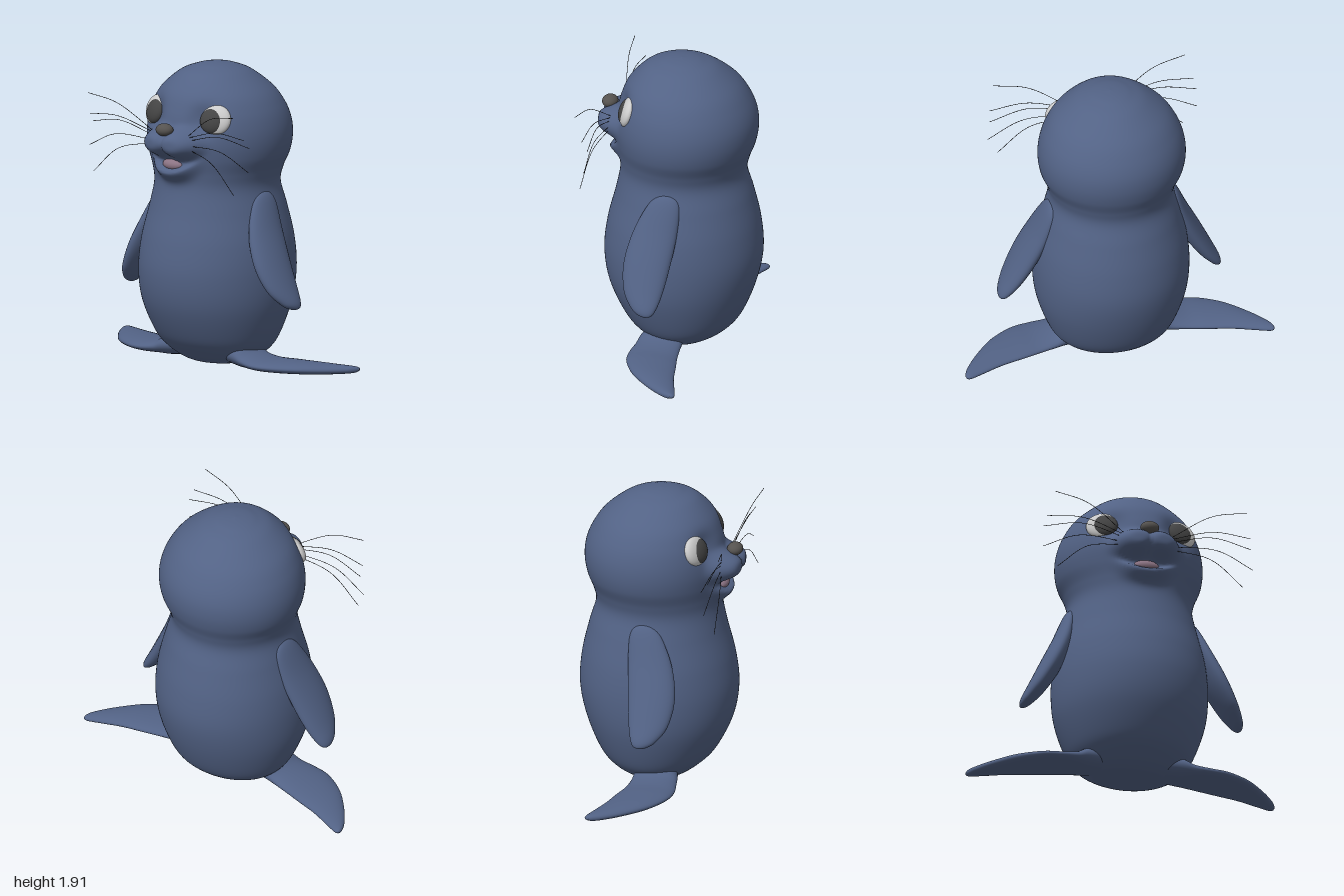
import * as THREE from 'three';

const mat = color => new THREE.MeshStandardMaterial({ color, roughness: 0.7 });
const skin = mat(0x526285);
const white = mat(0xcccccc);
const dark = mat(0x444444);
const noseMat = mat(0x55524f);
const pink = mat(0x8c7484);
const hair = mat(0x222222);

// Smooth closed skin: rows of numbers are spline-interpolated, ring(row, cos, sin) gives a point
function loft(rows, ring, steps = 6, seg = 32) {
  const pos = [], idx = [], n = (rows.length - 1) * steps;
  const cr = (a, b, c, d, t) => b + 0.5 * t * (c - a + t * (2 * a - 5 * b + 4 * c - d + t * (3 * (b - c) + d - a)));
  for (let i = 0; i <= n; i++) {
    const k = Math.min(Math.floor(i / steps), rows.length - 2), t = i / steps - k;
    const at = j => rows[Math.max(0, Math.min(rows.length - 1, j))];
    const row = rows[k].map((v, c) => cr(at(k - 1)[c], v, at(k + 1)[c], at(k + 2)[c], t));
    for (let j = 0; j < seg; j++) {
      const a = (j / seg) * Math.PI * 2;
      pos.push(...ring(row, Math.cos(a), Math.sin(a)));
      if (i < n) {
        const p = i * seg + j, q = i * seg + (j + 1) % seg;
        idx.push(p, p + seg, q, q, p + seg, q + seg);
      }
    }
  }
  const g = new THREE.BufferGeometry();
  g.setAttribute('position', new THREE.Float32BufferAttribute(pos, 3));
  g.setIndex(idx);
  g.computeVertexNormals();
  return g;
}

function add(parent, name, geometry, material) {
  const m = new THREE.Mesh(geometry, material);
  m.name = name;
  parent.add(m);
}

function ellipsoid(parent, name, material, [x, y, z], [rx, ry, rz]) {
  const g = new THREE.SphereGeometry(1, 32, 24).scale(rx, ry, rz).translate(x, y, z);
  add(parent, name, g, material);
}

// Relief of the face: two muzzle lobes, smiling lower lip and shallow eye sockets
function faceRelief(x, y) {
  const ax = Math.abs(x);
  const r2 = ((ax - 0.085) / 0.125) ** 2 + ((y - 1.45) / 0.088) ** 2;
  const lobes = 0.12 * Math.exp(-r2 * r2);
  const d = y - (1.262 + 1.8 * x * x);
  const lip = 0.068 * Math.exp(-((x / 0.17) ** 4) - (d / (d > 0 ? 0.028 : 0.055)) ** 2);
  const socket = 0.05 * Math.exp(-(((ax - 0.2) / 0.08) ** 2) - ((y - 1.6) / 0.09) ** 2);
  return lobes + lip - socket;
}

export function createModel() {
  const model = new THREE.Group();
  model.name = 'seal';

  // Body and head in one skin: y, half width, front z, back z
  const bodyRows = [
    [0, 0.001, -0.02, -0.022], [0.006, 0.12, 0.08, -0.13], [0.03, 0.24, 0.16, -0.21],
    [0.1, 0.345, 0.26, -0.32], [0.2, 0.41, 0.35, -0.4], [0.4, 0.475, 0.445, -0.48],
    [0.6, 0.492, 0.477, -0.52], [0.8, 0.475, 0.455, -0.507], [1.0, 0.428, 0.405, -0.462],
    [1.15, 0.393, 0.377, -0.42], [1.25, 0.41, 0.38, -0.435], [1.35, 0.45, 0.393, -0.472],
    [1.45, 0.465, 0.402, -0.49], [1.55, 0.456, 0.395, -0.482], [1.65, 0.422, 0.37, -0.442],
    [1.75, 0.355, 0.323, -0.37], [1.85, 0.23, 0.225, -0.245], [1.89, 0.135, 0.13, -0.15],
    [1.905, 0.07, 0.065, -0.085], [1.911, 0.001, -0.009, -0.011],
  ];
  add(model, 'body', loft(bodyRows, ([y, w, f, b], c, s) => {
    const x = w * c;
    const relief = s > 0 ? faceRelief(x, y) * Math.min(1, s * 3) : 0;
    return [x, y, (f + b) / 2 + (f - b) / 2 * s + relief];
  }, 8, 144), skin);

  ellipsoid(model, 'tongue', pink, [0, 1.308, 0.375], [0.085, 0.04, 0.05]);
  ellipsoid(model, 'nose', noseMat, [0, 1.54, 0.463], [0.06, 0.04, 0.05]);

  // Arm: centre x, y, z, half depth, half thickness
  const armRows = [
    [0.38, 1.13, -0.03, 0.001, 0.001], [0.385, 1.115, -0.03, 0.055, 0.02], [0.403, 1.05, -0.015, 0.105, 0.04],
    [0.456, 0.88, 0.025, 0.143, 0.06], [0.537, 0.7, 0.052, 0.15, 0.066], [0.62, 0.55, 0.05, 0.125, 0.055],
    [0.678, 0.465, 0.03, 0.08, 0.038], [0.702, 0.432, 0.015, 0.04, 0.02], [0.709, 0.424, 0.01, 0.001, 0.001],
  ];
  // Tail flipper: x, front z, back z, centre y, half thickness
  const flipperRows = [
    [0.15, 0.13, -0.1, 0.1, 0.07], [0.3, 0.165, -0.11, 0.085, 0.072], [0.38, 0.175, -0.115, 0.064, 0.05],
    [0.48, 0.185, -0.13, 0.053, 0.041], [0.6, 0.165, -0.16, 0.052, 0.04], [0.75, 0.08, -0.195, 0.05, 0.037],
    [0.88, -0.05, -0.24, 0.046, 0.03], [0.96, -0.155, -0.268, 0.044, 0.023],
    [0.99, -0.21, -0.268, 0.044, 0.015], [1.0, -0.244, -0.246, 0.044, 0.001],
  ];
  // Whiskers: start y, middle x, y, tip x, y, z
  const whiskers = [
    [1.51, 0.4, 1.66, 0.62, 1.7, 0.5], [1.5, 0.42, 1.57, 0.66, 1.555, 0.44],
    [1.48, 0.42, 1.54, 0.67, 1.5, 0.4], [1.45, 0.45, 1.45, 0.68, 1.35, 0.42],
    [1.43, 0.4, 1.37, 0.6, 1.2, 0.47],
  ];

  for (const s of [1, -1]) {
    const side = s > 0 ? 'left' : 'right';
    add(model, side + 'Arm', loft(armRows, ([x, y, z, d, t], c, n) =>
      [s * (x + t * c * 0.9), y + t * c * 0.42, z - s * d * n]), skin);
    add(model, side + 'Flipper', loft(flipperRows, ([x, f, b, y, t], c, n) =>
      [s * x, y + t * c, (f + b) / 2 - s * (f - b) / 2 * n]), skin);

    // Eye: flattened ball with a large pupil, turned outwards and up
    const eye = new THREE.Group();
    eye.name = side + 'Eye';
    eye.position.set(s * 0.254, 1.608, 0.266);
    eye.rotation.set(-0.3, s * 0.32, 0, 'YXZ');
    ellipsoid(eye, 'eyeball', white, [0, 0, 0], [0.102, 0.097, 0.045]);
    ellipsoid(eye, 'pupil', dark, [-s * 0.016, -0.008, 0.012], [0.083, 0.081, 0.043]);
    model.add(eye);

    whiskers.forEach(([y0, x1, y1, x2, y2, z], i) => {
      const path = new THREE.CatmullRomCurve3([
        new THREE.Vector3(s * 0.15, y0, 0.41), new THREE.Vector3(s * x1, y1, (z + 0.44) / 2), new THREE.Vector3(s * x2, y2, z)]);
      add(model, side + 'Whisker' + (i + 1), new THREE.TubeGeometry(path, 20, 0.0018, 5), hair);
    });
  }
  return model;
}
